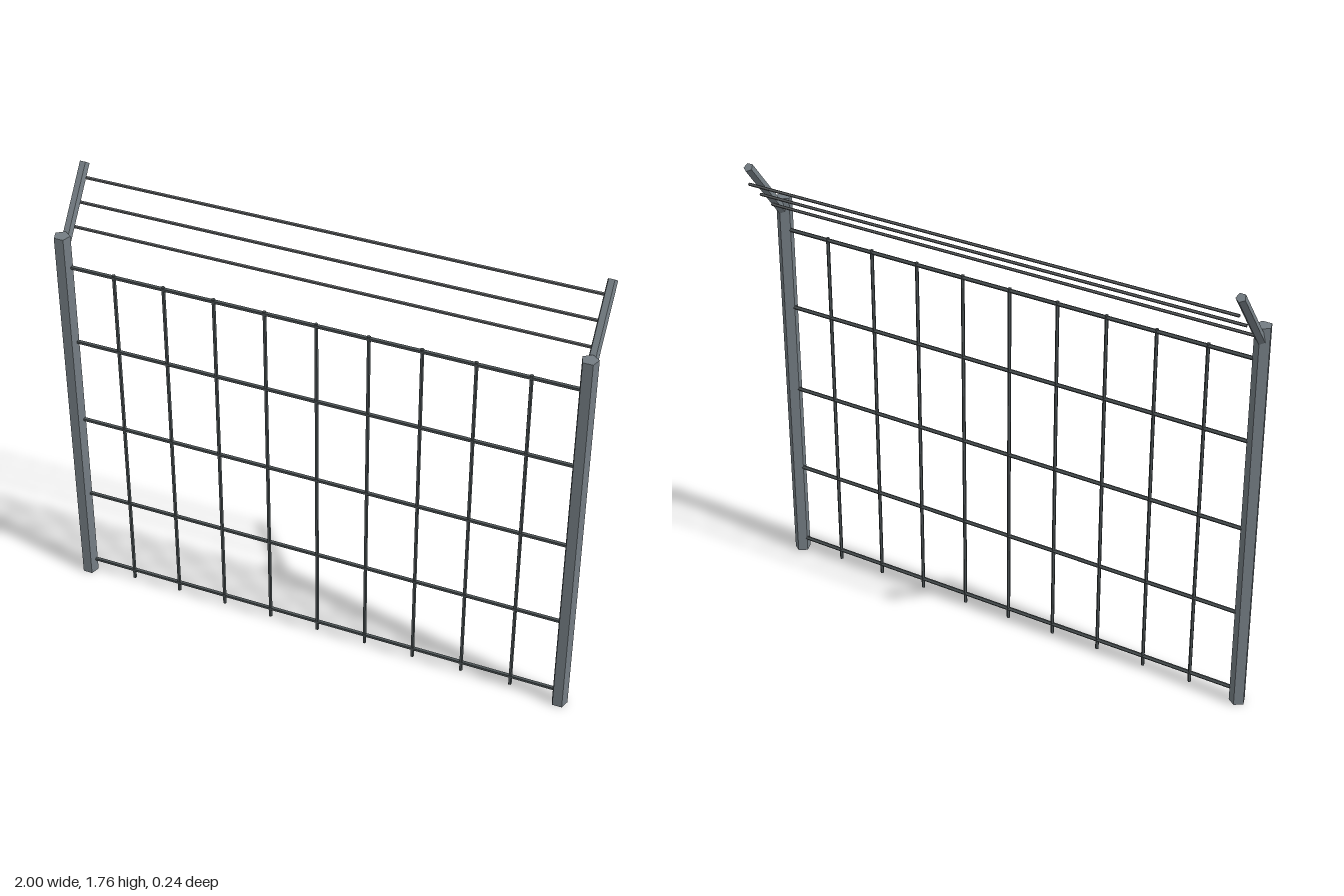
import * as THREE from 'three';

export function createModel() {
  const model = new THREE.Group();
  const paint = (name, color) => {
    const material = new THREE.MeshStandardMaterial({ color, flatShading: true });
    material.name = name;
    return material;
  };
  const steel = paint('grey steel', 0x747d83);
  const gridWire = paint('dark grid wire', 0x4a5153);
  const strandWire = paint('grey strand wire', 0x5a5d5f);

  // A five-sided rod between two points, with a flat face to the front
  function rod(name, material, radius, from, to) {
    const a = new THREE.Vector3(...from);
    const b = new THREE.Vector3(...to);
    const dir = b.clone().sub(a);
    const geometry = new THREE.CylinderGeometry(radius, radius, dir.length(), 5, 1, false, Math.PI);
    const mesh = new THREE.Mesh(geometry, material);
    mesh.name = name;
    mesh.quaternion.setFromUnitVectors(new THREE.Vector3(0, 1, 0), dir.normalize());
    mesh.position.copy(a).add(b).multiplyScalar(0.5);
    model.add(mesh);
  }

  const postX = 0.97, postZ = 0.097, gridZ = 0.092;

  // Posts with arms leaning backwards
  for (const [side, x] of [['left', postX], ['right', -postX]]) {
    rod(side + 'Post', steel, 0.031, [x, 0, postZ], [x, 1.555, postZ]);
    rod(side + 'Arm', steel, 0.0185, [x, 1.507, 0.08], [x, 1.746, -0.103]);
  }

  // Horizontal rails of the grid
  [0.055, 0.39, 0.747, 1.102, 1.425].forEach((y, i) =>
    rod('gridRail' + (i + 1), gridWire, 0.008, [-postX, y, gridZ], [postX, y, gridZ]));

  // Vertical bars of the grid
  for (let i = -4; i <= 4; i++) {
    rod('gridBar' + (i + 5), gridWire, 0.007, [i * 0.194, 0.015, gridZ], [i * 0.194, 1.435, gridZ]);
  }

  // Three strands carried by the arms
  for (let i = 0; i < 3; i++) {
    const y = 1.552 + i * 0.0645, z = 0.022 - i * 0.063;
    rod('topStrand' + (i + 1), strandWire, 0.006, [-postX, y, z], [postX, y, z]);
  }

  return model;
}
